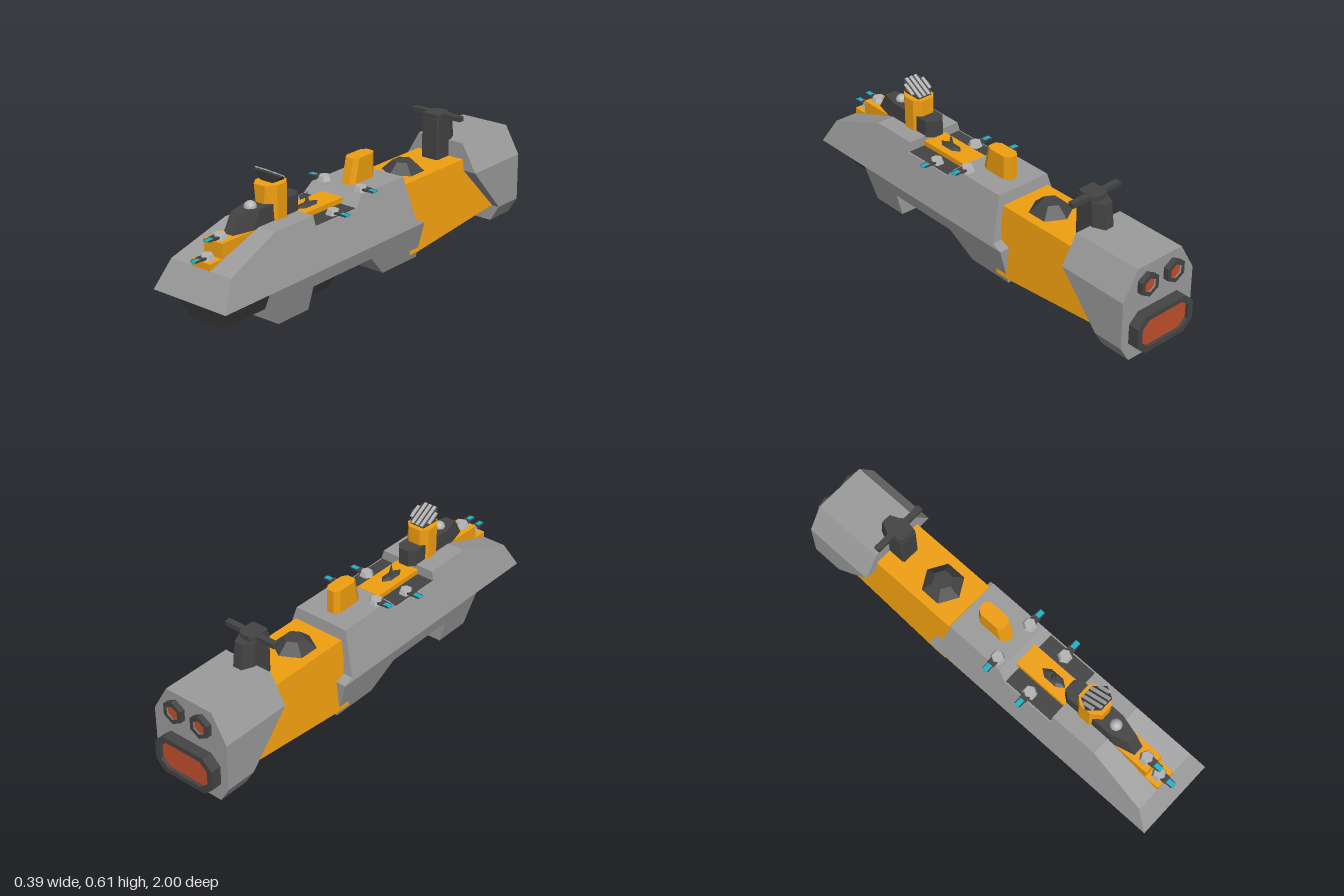
import * as THREE from 'three';

const mat = (color) => new THREE.MeshStandardMaterial({ color, flatShading: true });
const GREY = mat(0x9c9c9c), LIGHT = mat(0xb4b4b4), DARK = mat(0x444444);
const ORANGE = mat(0xf2a010), CYAN = mat(0x18b4cc), GLOW = mat(0xc0502c);

export function createModel() {
  const ship = new THREE.Group();
  ship.name = 'spaceship';

  const add = (name, geo, material, x = 0, y = 0, z = 0, parent = ship) => {
    const mesh = new THREE.Mesh(geo, material);
    mesh.name = name;
    mesh.position.set(x, y, z);
    parent.add(mesh);
    return mesh;
  };
  const shapeOf = (pts) => new THREE.Shape(pts.map(([a, b]) => new THREE.Vector2(a, b)));
  const extrude = (shape, depth) => new THREE.ExtrudeGeometry(shape, { depth, bevelEnabled: false });
  const box = (name, w, h, d, material, x, y, z, parent) =>
    add(name, new THREE.BoxGeometry(w, h, d), material, x, y, z, parent);
  // Hexagonal frustum with points along z
  const hex = (name, rTop, rBottom, h, material, x, y, z, parent) =>
    add(name, new THREE.CylinderGeometry(rTop, rBottom, h, 6), material, x, y + h / 2, z, parent);

  // Side profile of [z, y] points, spread across x by a half-width that depends on y
  const hullBand = (name, profile, y0, w0, y1, w1, material) => {
    const geo = extrude(shapeOf(profile), 2);
    const p = geo.attributes.position;
    for (let i = 0; i < p.count; i++) {
      const y = p.getY(i), half = w0 + (w1 - w0) * (y - y0) / (y1 - y0);
      p.setXYZ(i, (1 - p.getZ(i)) * half, y, p.getX(i));
    }
    geo.computeVertexNormals();
    return add(name, geo, material);
  };

  // Upright block with cut corners; front and back edges are w * frontCut / backCut wide
  const tower = (name, w, zBack, zFront, y0, y1, cut, material, bend) => {
    const { fw, fz, bw, bz } = cut;
    const right = [[bw, zBack], [w, zBack + bz], [w, zFront - fz], [fw, zFront]];
    const left = right.map(([x, z]) => [-x, z]).reverse();
    const plan = [...right, ...left].map(([x, z]) => [x, -z]);
    const geo = extrude(shapeOf(plan), y1 - y0).rotateX(-Math.PI / 2).translate(0, y0, 0);
    if (bend) {
      const p = geo.attributes.position, v = new THREE.Vector3();
      for (let i = 0; i < p.count; i++) {
        v.fromBufferAttribute(p, i);
        bend(v, v.y > (y0 + y1) / 2);
        p.setXYZ(i, v.x, v.y, v.z);
      }
      geo.computeVertexNormals();
    }
    return add(name, geo, material);
  };

  // Forward hull with a notch across the deck
  hullBand('upperHull', [[1, 0.173], [0.93, 0.293], [0.65, 0.39], [0.42, 0.39], [0.42, 0.345],
    [0.16, 0.345], [0.12, 0.39], [-0.165, 0.39], [-0.19, 0.19], [-0.24, 0.173]],
  0.173, 0.195, 0.39, 0.134, GREY);
  hullBand('lowerHull', [[0.68, 0.173], [0.655, 0], [0.475, 0], [0.475, 0.11], [0.105, 0.11],
    [-0.01, 0], [-0.24, 0], [-0.24, 0.173]], 0, 0.15, 0.173, 0.195, GREY);
  hullBand('bowChin', [[0.95, 0.173], [0.905, 0.05], [0.64, 0.05], [0.64, 0.173]],
    0.05, 0.085, 0.173, 0.145, DARK);
  hex('bellyPod', 0.15, 0.08, 0.11, DARK, 0, 0, 0.3);

  // Middle hull
  hullBand('middleHull', [[-0.18, 0.345], [-0.18, 0.03], [-0.24, 0.03], [-0.82, 0.08], [-0.82, 0.345]],
    0.03, 0.165, 0.345, 0.125, ORANGE);
  hex('middleTurret', 0.045, 0.095, 0.045, DARK, 0, 0.345, -0.335);

  // Stern block in three bands
  hullBand('sternTop', [[-0.61, 0.293], [-0.61, 0.42], [-0.95, 0.42], [-0.95, 0.293]],
    0.293, 0.195, 0.42, 0.122, GREY);
  hullBand('sternMiddle', [[-0.61, 0.293], [-0.805, 0.075], [-0.95, 0.075], [-0.95, 0.293]],
    0.075, 0.195, 0.293, 0.195, GREY);
  hullBand('sternBottom', [[-0.805, 0.075], [-0.805, 0], [-0.95, 0], [-0.95, 0.075]],
    0, 0.15, 0.075, 0.195, GREY);

  // Engines: raised frame with a recessed glowing face
  const engine = (name, outline, scaleX, scaleY, x, y, depth) => {
    const inner = outline.map(([a, b]) => [a * scaleX, b * scaleY]);
    const frame = shapeOf(outline);
    frame.holes.push(new THREE.Path(inner.map(([a, b]) => new THREE.Vector2(a, b))));
    add(name + 'Frame', extrude(frame, depth + 0.01), DARK, x, y, -0.95 - depth);
    add(name + 'Glow', extrude(shapeOf(inner), depth * 0.7), GLOW, x, y, -0.95 - depth * 0.7);
  };
  const mainOutline = [[0.155, 0.045], [0.11, 0.087], [-0.11, 0.087], [-0.155, 0.045],
    [-0.155, -0.045], [-0.11, -0.087], [0.11, -0.087], [0.155, -0.045]];
  engine('mainEngine', mainOutline, 0.83, 0.74, 0, 0.13, 0.05);
  const hexOutline = Array.from({ length: 6 }, (_, i) =>
    [0.053 * Math.sin(i * Math.PI / 3), 0.053 * Math.cos(i * Math.PI / 3)]);
  for (const s of [-1, 1]) engine('smallEngine', hexOutline, 0.6, 0.6, s * 0.072, 0.337, 0.025);

  // Stepped foredeck and bridge
  box('foredeckUpper', 0.098, 0.09, 0.24, ORANGE, 0, 0.34, 0.74);
  box('foredeckLower', 0.098, 0.045, 0.15, ORANGE, 0, 0.2985, 0.855);
  tower('bridge', 0.049, 0.39, 0.775, 0.385, 0.462, { fw: 0.025, fz: 0.09, bw: 0.025, bz: 0.03 }, DARK,
    (v, top) => { if (top && v.z > 0.6) v.z -= 0.045; });
  add('bridgeDome', new THREE.SphereGeometry(0.027, 12, 8, 0, Math.PI * 2, 0, Math.PI / 2), LIGHT, 0, 0.462, 0.645);

  // Sensor tower with a tilted, slatted dish
  tower('sensorTower', 0.058, 0.462, 0.59, 0.39, 0.538, { fw: 0.03, fz: 0.04, bw: 0.03, bz: 0.03 }, ORANGE,
    (v, top) => { if (!top && v.z > 0.58) v.x *= 0.5; });
  const dish = new THREE.Group();
  dish.name = 'sensorDish';
  dish.position.set(0, 0.573, 0.53);
  dish.rotation.x = -Math.PI / 6;
  ship.add(dish);
  hex('dishBack', 0.064, 0.03, 0.03, DARK, 0, -0.036, 0, dish).rotation.y = Math.PI / 6;
  hex('dishRim', 0.068, 0.066, 0.008, DARK, 0, -0.006, 0, dish).rotation.y = Math.PI / 6;
  for (let i = -2; i <= 2; i++) {
    const x = i * 0.024;
    const length = 2 * Math.min(0.057, (0.066 - Math.abs(x)) * 1.73);
    box('dishSlat', 0.014, 0.006, length, LIGHT, x, 0.004, 0, dish);
  }

  // Notch floor, centre strip and spike
  box('notchFloor', 0.28, 0.004, 0.255, DARK, 0, 0.345, 0.29);
  box('centreStrip', 0.116, 0.03, 0.28, ORANGE, 0, 0.355, 0.285);
  hex('spikeBase', 0.03, 0.05, 0.008, DARK, 0, 0.37, 0.305).scale.set(0.55, 1, 1.3);
  add('spike', new THREE.ConeGeometry(0.014, 0.055, 4), DARK, 0, 0.405, 0.305);

  // Deck tower with raked front
  tower('deckTower', 0.035, -0.105, 0.06, 0.385, 0.5, { fw: 0.02, fz: 0.025, bw: 0.018, bz: 0.025 }, ORANGE,
    (v, top) => { if (top && v.z > 0) v.z -= 0.027; });

  // Aft mast with cross bar
  tower('aftMast', 0.045, -0.685, -0.525, 0.34, 0.532, { fw: 0.04, fz: 0.01, bw: 0.022, bz: 0.05 }, DARK,
    (v, top) => { if (top && v.z < -0.6) v.z += 0.025; });
  tower('mastCap', 0.042, -0.625, -0.53, 0.53, 0.553, { fw: 0.036, fz: 0.01, bw: 0.025, bz: 0.02 }, DARK);
  box('crossBar', 0.262, 0.021, 0.028, DARK, 0, 0.541, -0.585);

  // Gun turrets: hexagonal cap and a flat barrel pointing along local +z
  const gun = (x, y, z, angle, reach) => {
    const g = new THREE.Group();
    g.name = 'gunTurret';
    g.position.set(x, y, z);
    g.rotation.y = angle;
    ship.add(g);
    hex('turretCap', 0.025, 0.034, 0.022, LIGHT, 0, 0, 0, g);
    box('gunHousing', 0.036, 0.009, 0.04, DARK, 0, 0.011, 0.025, g);
    box('barrel', 0.024, 0.006, reach, CYAN, 0, 0.011, reach / 2, g);
    for (const s of [-1, 1]) box('barrelRail', 0.004, 0.007, reach - 0.01, DARK, s * 0.013, 0.011, reach / 2, g);
  };
  gun(0, 0.384, 0.82, 0, 0.08);
  gun(0, 0.321, 0.895, 0, 0.08);
  for (const s of [-1, 1]) {
    gun(s * 0.11, 0.346, 0.27, s * Math.PI / 2, 0.083);
    gun(s * 0.1, 0.391, 0.077, s * Math.PI / 2, 0.08);
  }

  return ship;
}
